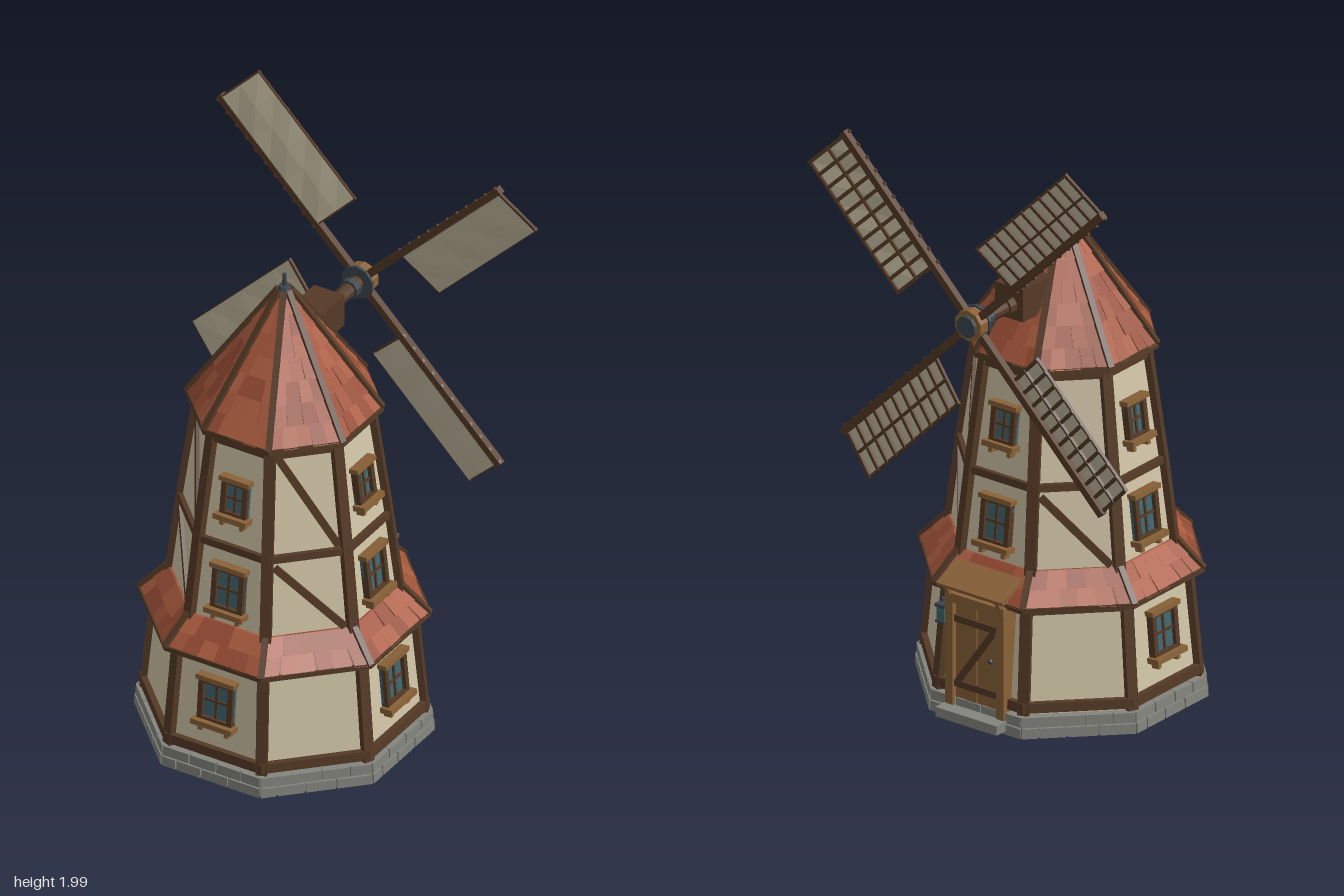
import * as THREE from 'three';
import { mergeGeometries } from 'three/addons/utils/BufferGeometryUtils.js';

const TAN = Math.tan(Math.PI / 8), COS = Math.cos(Math.PI / 8), STEP = Math.PI / 4;
const { lerp } = THREE.MathUtils;
const V = (x, y, z) => new THREE.Vector3(x, y, z);
const mat = (color) => new THREE.MeshStandardMaterial({ color, flatShading: true });
const M = {
  plaster: mat(0xd2c6a8), timber: mat(0x553a26), oak: mat(0x8a6238), stone: mat(0x85857f),
  metal: mat(0x3c464c), glass: mat(0x3f6670), floor: mat(0x4a3d28),
  tiles: [mat(0xa2543a), mat(0x964b33), mat(0xab5c40)],
};
const cloth = new THREE.MeshStandardMaterial({ color: 0xc0b69c, flatShading: true, side: THREE.DoubleSide });

let seed = 7;
const rnd = () => (seed = (seed * 16807) % 2147483647) / 2147483647;

function add(parent, name, geos, material) {
  const mesh = new THREE.Mesh(mergeGeometries([geos].flat()), material);
  mesh.name = name;
  parent.add(mesh);
  return mesh;
}
const box = (w, h, d, x = 0, y = 0, z = 0) => new THREE.BoxGeometry(w, h, d).translate(x, y, z);

// Slab lying on the +z face of an octagonal frustum; u runs -1..1 across the face
function slab(a0, y0, a1, y1, depth, u0 = -1, u1 = 1) {
  const g = new THREE.BoxGeometry(1, 1, 1), p = g.attributes.position;
  for (let i = 0; i < p.count; i++) {
    const t = p.getY(i) + 0.5;
    const a = lerp(a0, a1, t) - depth * (0.5 - p.getZ(i));
    p.setXYZ(i, lerp(u0, u1, p.getX(i) + 0.5) * a * TAN, lerp(y0, y1, t), a);
  }
  g.computeVertexNormals();
  return g;
}
// Repeat a geometry around the octagon
const around = (make, faces = [0, 1, 2, 3, 4, 5, 6, 7]) => faces.map((k) => make(k).rotateY(k * STEP));

// Square timber from p to q with one side turned towards out
function beam(p, q, w, t, out) {
  const y = q.clone().sub(p), len = y.length();
  y.normalize();
  const x = y.clone().cross(out).normalize(), z = x.clone().cross(y);
  const m = new THREE.Matrix4().makeBasis(x, y, z).setPosition(p.clone().add(q).multiplyScalar(0.5));
  return new THREE.BoxGeometry(w, len, t).applyMatrix4(m);
}
// Beams along the eight edges of a frustum
const edges = (a0, y0, a1, y1, w, t) => around(() =>
  beam(V(0, y0, a0 / COS), V(0, y1, a1 / COS), w, t, V(0, 0, 1)).rotateY(STEP / 2));

// Octagonal roof with overlapping courses of tiles
function tiledRoof(parent, name, a0, y0, a1, y1, rows, tileWidth) {
  add(parent, name + 'Core', around(() => slab(a0, y0, a1, y1, Math.min(a1, 0.05))), M.tiles[1]);
  const shades = [[], [], []];
  for (let k = 0; k < 8; k++) for (let r = 0; r < rows; r++) {
    const A = lerp(a0, a1, r / rows), B = lerp(a0, a1, (r + 1) / rows);
    const n = Math.max(1, Math.round(2 * A * TAN / tileWidth));
    for (let i = 0; i < n; i++) {
      const lift = 0.004 + rnd() * 0.004, gap = rnd() < 0.3 ? 0.04 : 0;
      shades[Math.floor(rnd() * 3)].push(slab(A + lift, lerp(y0, y1, r / rows), B + 0.002,
        lerp(y0, y1, (r + 1) / rows), 0.008, -1 + 2 * i / n + gap, -1 + 2 * (i + 1) / n).rotateY(k * STEP));
    }
  }
  shades.forEach((g, i) => g.length && add(parent, name + 'Tiles', g, M.tiles[i]));
  add(parent, name + 'Hips', edges(a0 + 0.004, y0, a1 + 0.004, y1, 0.02, 0.016), M.timber);
}

// Window with mullions, sill and lintel, facing +z
function makeWindow(w, h) {
  const g = new THREE.Group();
  g.name = 'window';
  add(g, 'windowGlass', box(w, h, 0.012), M.glass);
  add(g, 'windowFrame', [
    ...[-1, 1].map((s) => box(0.018, h, 0.03, s * (w / 2 - 0.009), 0, 0.005)),
    ...[-1, 1].map((s) => box(w, 0.018, 0.03, 0, s * (h / 2 - 0.009), 0.005)),
    box(0.008, h, 0.012, 0, 0, 0.006), box(w, 0.008, 0.012, 0, 0, 0.006)], M.timber);
  add(g, 'windowSill', [
    box(w + 0.024, 0.018, 0.05, 0, -h / 2, 0.014), box(w + 0.014, 0.016, 0.036, 0, h / 2, 0.01),
    ...[-1, 1].map((s) => box(0.014, 0.025, 0.03, s * w * 0.38, -h / 2 - 0.018, 0.008))], M.oak);
  return g;
}

function makeDoor() {
  const g = new THREE.Group();
  g.name = 'door';
  add(g, 'doorPlanks', [0, 1, 2, 3].map((i) =>
    box(0.041, 0.35, 0.05, -0.063 + i * 0.042, 0.225, 0.4 + (i % 2) * 0.002)), M.oak);
  add(g, 'doorFrame', [
    ...[-1, 1].map((s) => box(0.03, 0.37, 0.08, s * 0.1, 0.23, 0.4)),
    box(0.23, 0.03, 0.085, 0, 0.41, 0.4)], M.oak);
  add(g, 'doorBraces', [
    ...[0.12, 0.34].map((y) => box(0.165, 0.022, 0.012, 0, y, 0.43)),
    beam(V(-0.07, 0.13, 0.43), V(0.07, 0.33, 0.43), 0.02, 0.01, V(0, 0, 1))], M.timber);
  add(g, 'doorHandle', new THREE.SphereGeometry(0.009, 8, 6).translate(0.06, 0.23, 0.435), M.metal);
  add(g, 'doorCanopy', [
    beam(V(0, 0.5, 0.36), V(0, 0.452, 0.463), 0.26, 0.014, V(0, 1, 0)),
    ...[-1, 1].map((s) => beam(V(s * 0.1, 0.39, 0.42), V(s * 0.1, 0.455, 0.455), 0.016, 0.016, V(0, 0, 1)))], M.oak);
  add(g, 'doorStep', box(0.24, 0.032, 0.09, 0, 0.028, 0.437), M.stone);
  // Lantern beside the door
  add(g, 'lanternFrame', [
    box(0.01, 0.01, 0.06, -0.135, 0.385, 0.4), box(0.04, 0.01, 0.04, -0.135, 0.367, 0.422),
    box(0.036, 0.008, 0.036, -0.135, 0.312, 0.422)], M.metal);
  add(g, 'lanternGlass', box(0.03, 0.05, 0.03, -0.135, 0.34, 0.422), M.glass);
  return g;
}

// One arm along +y with its sail on the +x side
function makeSail() {
  const g = new THREE.Group();
  g.name = 'sail';
  add(g, 'spar', box(0.024, 0.72, 0.024, 0, 0.36, 0), M.timber);
  const panel = new THREE.Group();
  panel.name = 'sailPanel';
  panel.position.z = 0.008;
  panel.rotation.y = 0.2;
  const N = 10, frame = [box(0.008, 0.5, 0.01, 0.17, 0.465, 0), box(0.008, 0.5, 0.01, 0.085, 0.465, -0.004)];
  for (let i = 0; i <= N; i++) frame.push(box(0.19, 0.011, 0.01, 0.079, 0.22 + 0.049 * i, -0.002));
  add(panel, 'sailBattens', frame, M.timber);
  const sheet = new THREE.PlaneGeometry(0.162, 0.49, 2, 6).translate(0.09, 0.465, 0.006);
  const p = sheet.attributes.position;
  for (let i = 0; i < p.count; i++)
    if (Math.abs(p.getX(i) - 0.09) < 0.01) p.setZ(i, 0.006 + (Math.floor(i / 3) % 2) * 0.006);
  add(panel, 'sailCloth', sheet, cloth);
  g.add(panel);
  return g;
}

export function createModel() {
  const model = new THREE.Group();
  model.name = 'windmill';
  const tower = new THREE.Group();
  tower.name = 'tower';
  tower.position.z = 0.02;
  model.add(tower);

  // Stone footing in two courses
  const blocks = around(() => slab(0.428, 0, 0.424, 0.068, 0.06));
  for (let k = 0; k < 8; k++) for (let r = 0; r < 2; r++) {
    const cuts = r ? [-1, -0.45, 0.1, 0.6, 1] : [-1, -0.7, -0.2, 0.35, 1];
    for (let i = 0; i < 4; i++)
      blocks.push(slab(0.436 - r * 0.004, r * 0.036, 0.435 - r * 0.004, r * 0.036 + 0.033, 0.02,
        cuts[i] + 0.015, cuts[i + 1] - 0.015).rotateY(k * STEP));
  }
  add(tower, 'stoneFooting', blocks, M.stone);
  add(tower, 'floor', new THREE.CylinderGeometry(0.42, 0.42, 0.04, 8).rotateY(STEP / 2).translate(0, 0.04, 0), M.floor);

  // Three storeys: apothem and height at foot and head, window size and centre
  const storeys = [
    { a0: 0.405, y0: 0.07, a1: 0.372, y1: 0.44, w: 0.125, h: 0.155, yc: 0.275 },
    { a0: 0.34, y0: 0.44, a1: 0.3, y1: 0.79, w: 0.115, h: 0.155, yc: 0.65 },
    { a0: 0.3, y0: 0.79, a1: 0.25, y1: 1.17, w: 0.095, h: 0.13, yc: 0.965 },
  ];
  storeys.forEach(({ a0, y0, a1, y1, w, h, yc }, n) => {
    const at = (y) => lerp(a0, a1, (y - y0) / (y1 - y0));
    add(tower, 'wall', around(() => slab(a0, y0, a1, y1, 0.04)), M.plaster);
    add(tower, 'cornerPosts', edges(a0, y0, a1, y1, 0.036, 0.028), M.timber);
    for (const k of n ? [0, 2, 4, 6] : [0, 2, 6]) {
      const pivot = new THREE.Group();
      pivot.name = 'windowSide';
      pivot.rotation.y = k * STEP;
      const win = makeWindow(w, h);
      win.position.set(0, yc, at(yc) + 0.004);
      win.rotation.x = -Math.atan2(a0 - a1, y1 - y0);
      pivot.add(win);
      tower.add(pivot);
    }
    // Diagonal braces on the windowless faces
    if (n) add(tower, 'diagonalBraces', around(() => {
      const lo = n === 1 ? 0.53 : 0.81, hi = y1 - 0.03;
      return beam(V(-at(hi) * TAN * 0.82, hi, at(hi)), V(at(lo) * TAN * 0.82, lo, at(lo)), 0.024, 0.02, V(0, 0, 1));
    }, [1, 3, 5, 7]), M.timber);
  });

  // Horizontal timber rings
  for (const [a, y0, y1] of [[0.422, 0.08, 0.112], [0.385, 0.395, 0.425], [0.315, 0.78, 0.804], [0.268, 1.135, 1.168]])
    add(tower, 'timberRing', around(() => slab(a, y0, a - 0.002, y1, 0.04)), M.timber);

  // Skirt roof and main roof with their eaves
  tiledRoof(tower, 'skirtRoof', 0.418, 0.432, 0.335, 0.525, 2, 0.06);
  add(tower, 'skirtEave', around(() => slab(0.425, 0.42, 0.425, 0.436, 0.08)), M.timber);
  tiledRoof(tower, 'mainRoof', 0.28, 1.178, 0.014, 1.585, 7, 0.045);
  add(tower, 'mainEave', around(() => slab(0.288, 1.163, 0.286, 1.182, 0.07)), M.timber);
  add(tower, 'finial', [
    new THREE.CylinderGeometry(0.018, 0.032, 0.035, 8).translate(0, 1.58, 0),
    new THREE.CylinderGeometry(0.006, 0.008, 0.05, 6).translate(0, 1.615, 0)], M.metal);

  const door = makeDoor();
  door.rotation.y = Math.PI;
  tower.add(door);

  // Axle housing, axle and turning sails at the back
  const Y = 1.367;
  const rod = (r0, r1, z0, z1, n = 10) =>
    new THREE.CylinderGeometry(r0, r1, z0 - z1, n).rotateX(Math.PI / 2).translate(0, Y, (z0 + z1) / 2);
  add(model, 'axleHousing', box(0.11, 0.11, 0.145, 0, Y + 0.008, -0.172), M.timber);
  add(model, 'axle', [rod(0.024, 0.024, -0.2, -0.44), rod(0.033, 0.033, -0.245, -0.275)], M.timber);
  add(model, 'axleCollars', [rod(0.033, 0.033, -0.355, -0.38), rod(0.058, 0.058, -0.404, -0.414), rod(0.036, 0.036, -0.45, -0.464)], M.metal);
  add(model, 'hub', rod(0.052, 0.052, -0.41, -0.452), M.oak);
  const rotor = new THREE.Group();
  rotor.name = 'rotor';
  rotor.position.set(0, Y, -0.425);
  for (let i = 0; i < 4; i++) {
    const sail = makeSail();
    sail.rotation.z = -Math.PI / 4 + i * Math.PI / 2;
    rotor.add(sail);
  }
  model.add(rotor);
  return model;
}
